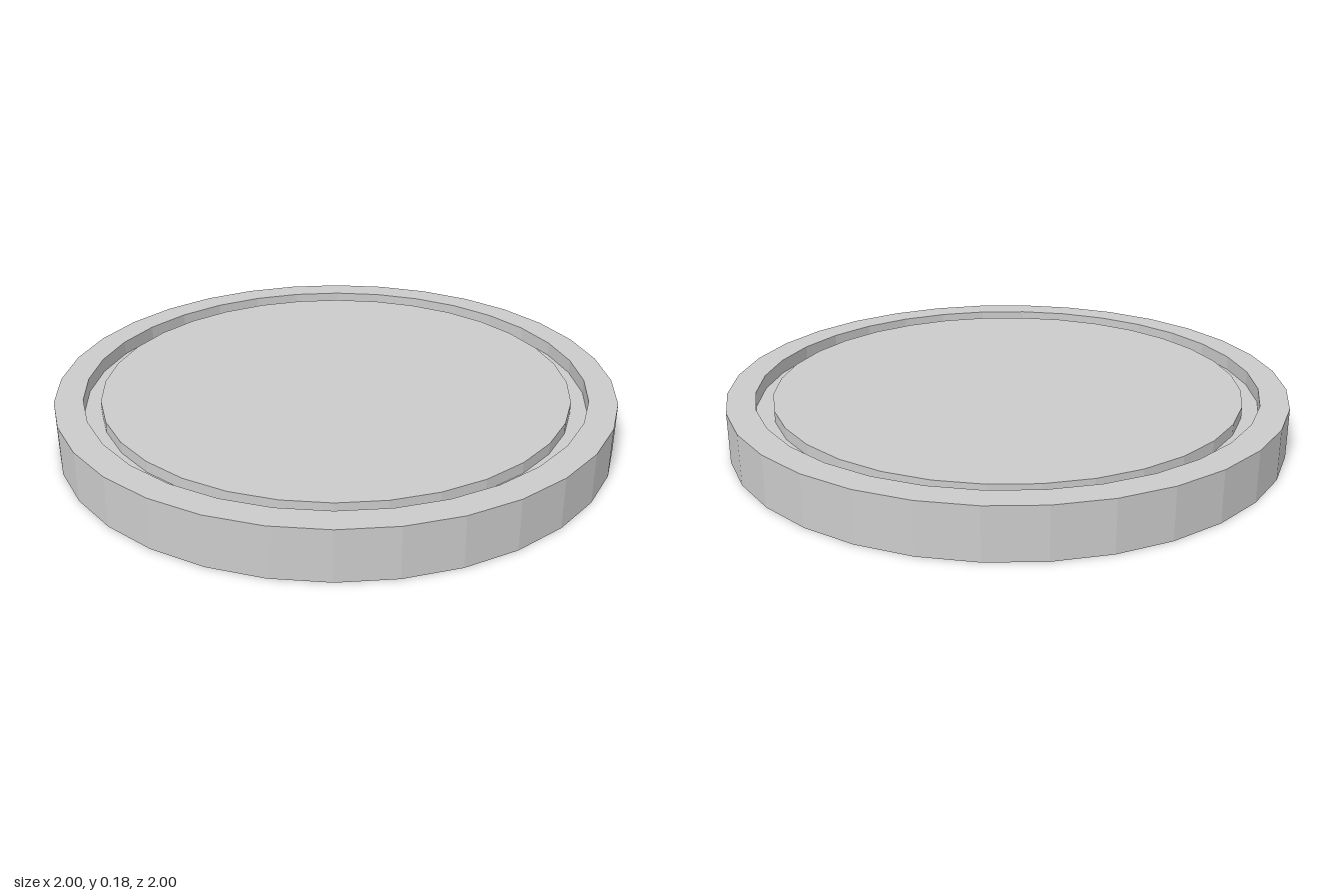
import * as THREE from 'three';

const SIDES = 32;
const material = new THREE.MeshStandardMaterial({ color: 0xcccccc, flatShading: true });

// Faceted ring or disc turned from [radius, height] points, bottom to top on its outer side
function turned(name, profile) {
  const points = profile.map(([r, y]) => new THREE.Vector2(r, y));
  const geometry = new THREE.LatheGeometry(points, SIDES).toNonIndexed();
  geometry.computeVertexNormals();
  const mesh = new THREE.Mesh(geometry, material);
  mesh.name = name;
  return mesh;
}

export function createModel() {
  const group = new THREE.Group();
  group.name = 'roundPlate';

  const topFloor = 0.13, bottomFloor = 0.06; // groove floors
  const topRadius = 0.84, bottomRadius = 0.815; // centre panel radii

  group.add(
    // Outer rim, including the inner walls above and below the web
    turned('rim', [[0.9, bottomFloor], [0.9, 0], [1, 0], [1, 0.18], [0.9, 0.18], [0.9, topFloor]]),
    // Floors of the two grooves between rim and panel
    turned('topGroove', [[0.9, topFloor], [topRadius, topFloor]]),
    turned('bottomGroove', [[bottomRadius, bottomFloor], [0.9, bottomFloor]]),
    // Centre panel, set slightly below the rim on both faces
    turned('topPanel', [[topRadius, topFloor], [topRadius, 0.17], [0, 0.17]]),
    turned('bottomPanel', [[0, 0.01], [bottomRadius, 0.01], [bottomRadius, bottomFloor]]),
  );
  return group;
}
